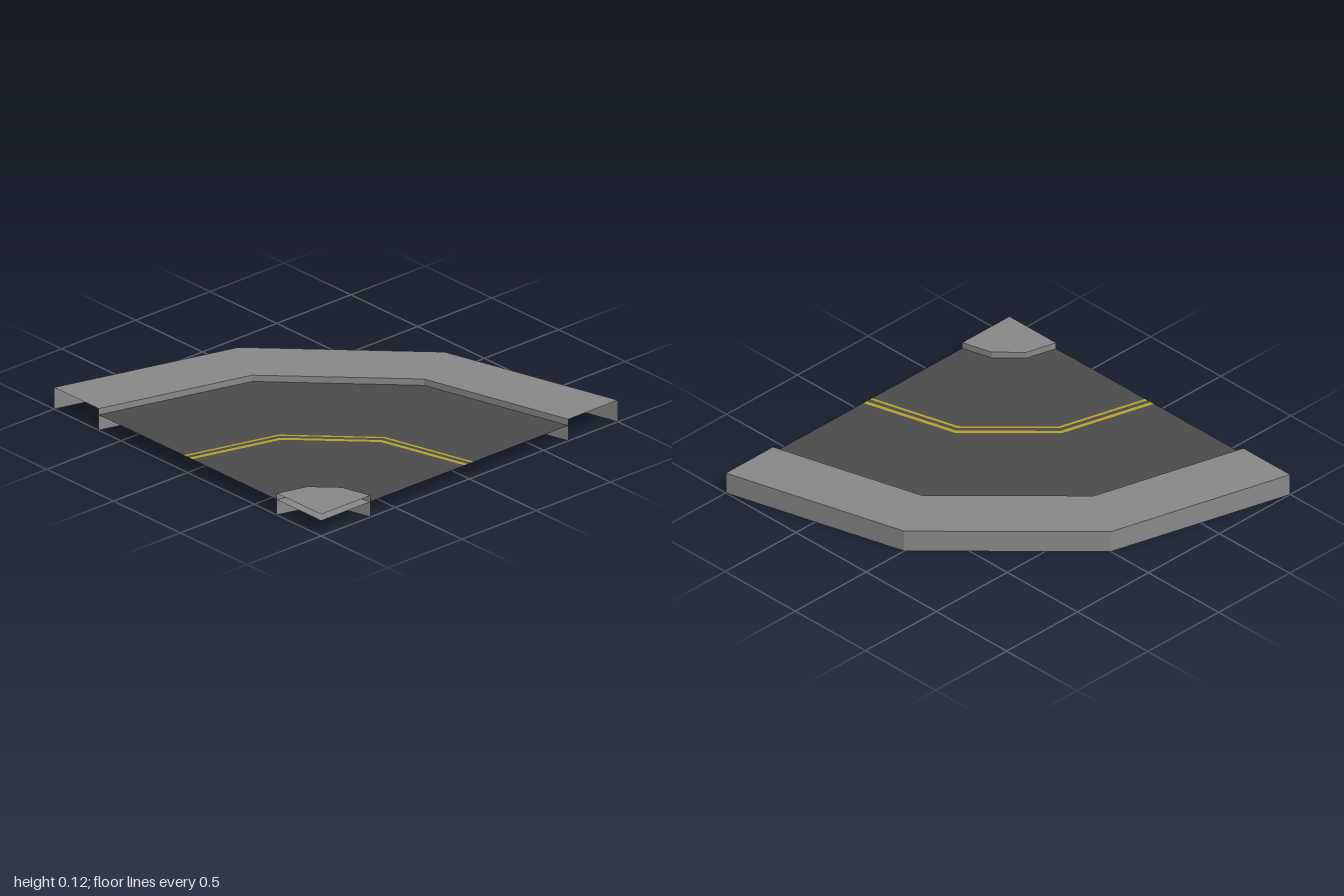
import * as THREE from 'three';

const HEIGHT = 0.12; // pavement level
const ROAD = 0.085; // road level
const SEGMENTS = 3; // straight pieces in the quarter turn

const material = (name, color) =>
  new THREE.MeshStandardMaterial({ name, color, side: THREE.DoubleSide, flatShading: true });

// Point on the quarter turn, whose centre is the corner (1, 1)
function bendPoint(radius, y, step) {
  const angle = (step / SEGMENTS) * Math.PI / 2;
  return [1 - radius * Math.cos(angle), y, 1 - radius * Math.sin(angle)];
}

// Faceted strip between two concentric arcs, each given as [radius, y]
function bendStrip(first, second) {
  const positions = [];
  for (let i = 0; i < SEGMENTS; i++) {
    const a = bendPoint(...first, i);
    const b = bendPoint(...first, i + 1);
    const c = bendPoint(...second, i + 1);
    const d = bendPoint(...second, i);
    if (second[0] > 0) positions.push(...a, ...d, ...c);
    positions.push(...a, ...c, ...b);
  }
  const geometry = new THREE.BufferGeometry();
  geometry.setAttribute('position', new THREE.Float32BufferAttribute(positions, 3));
  geometry.computeVertexNormals();
  return geometry;
}

export function createModel() {
  const model = new THREE.Group();
  model.name = 'roadBend';

  const concrete = material('concrete', 0x8a8a8a);
  const asphalt = material('asphalt', 0x4c4c4c);
  const yellow = material('yellowPaint', 0xb8a52a);

  const add = (name, mat, first, second) => {
    const mesh = new THREE.Mesh(bendStrip(first, second), mat);
    mesh.name = name;
    model.add(mesh);
  };

  // Outer pavement: top and two hanging walls
  add('outerPavementTop', concrete, [2, HEIGHT], [5 / 3, HEIGHT]);
  add('outerPavementBackWall', concrete, [2, 0], [2, HEIGHT]);
  add('outerKerb', concrete, [5 / 3, HEIGHT], [5 / 3, 0]);

  // Inner corner pavement: top, lower sheet and kerb
  add('innerPavementTop', concrete, [1 / 3, HEIGHT], [0, HEIGHT]);
  add('innerPavementBase', concrete, [1 / 3, ROAD], [0, ROAD]);
  add('innerKerb', concrete, [1 / 3, 0], [1 / 3, HEIGHT]);

  // Road on both sides of the centre marking
  add('outerLane', asphalt, [5 / 3, ROAD], [1.031, ROAD]);
  add('innerLane', asphalt, [0.969, ROAD], [1 / 3, ROAD]);

  // Yellow band, split into two lines by a thin dark strip on top
  add('centreMarking', yellow, [1.031, ROAD], [0.969, ROAD]);
  add('centreGap', asphalt, [1.012, ROAD + 0.002], [0.988, ROAD + 0.002]);

  return model;
}
